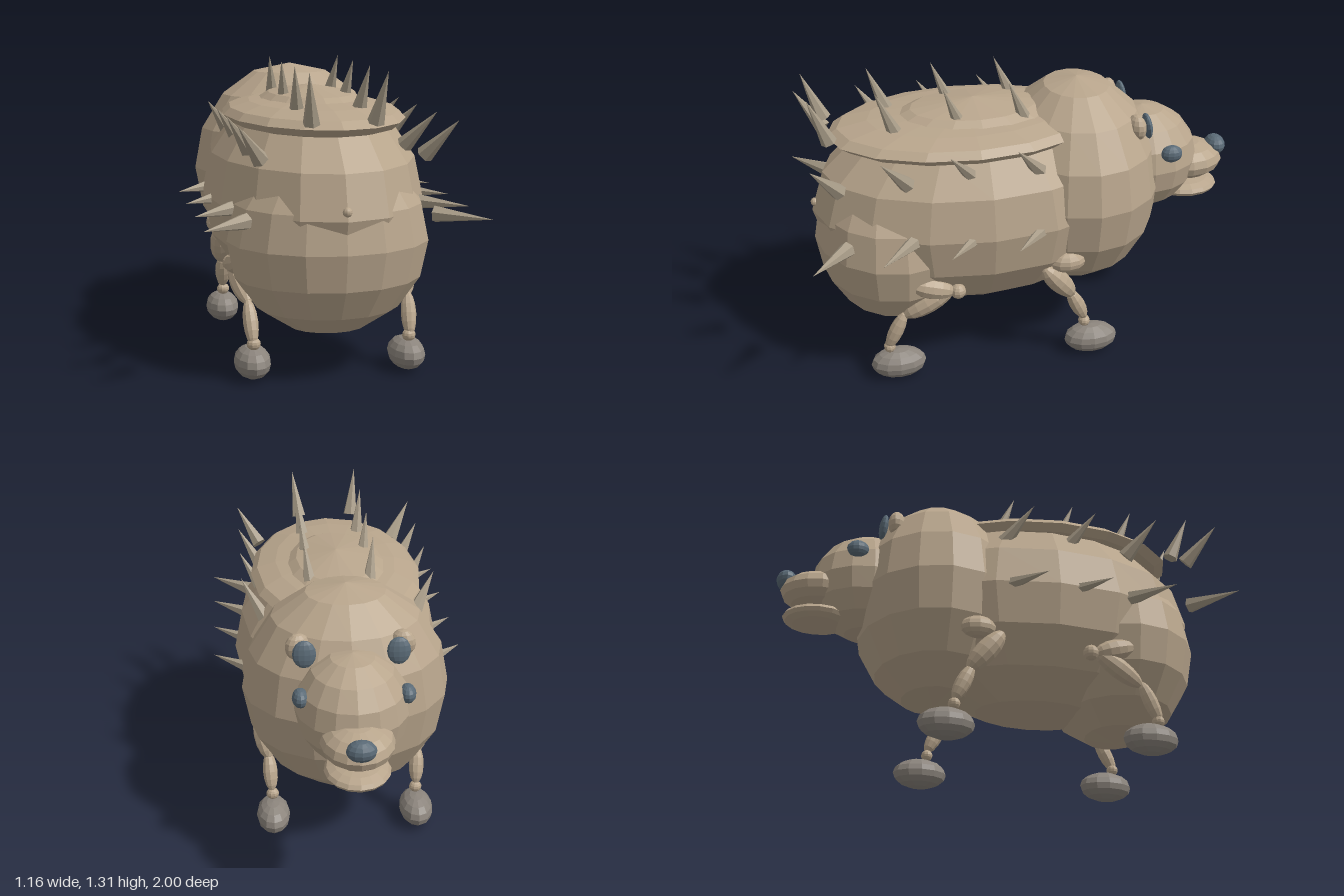
import * as THREE from 'three';

const mat = (name, color) => {
  const m = new THREE.MeshStandardMaterial({ color, flatShading: true });
  m.name = name;
  return m;
};

export function createModel() {
  const model = new THREE.Group();
  const fur = mat('tan fur', 0xb8a58c);
  const horn = mat('dull horn', 0xa89c88);
  const paw = mat('grey paw', 0x8b847c);
  const slate = mat('slate', 0x5a6a76);
  const UP = new THREE.Vector3(0, 1, 0);

  // faceted ellipsoid
  const blob = (name, material, pos, radii, wide = 16, high = 8) => {
    const mesh = new THREE.Mesh(new THREE.SphereGeometry(1, wide, high), material);
    mesh.name = name;
    mesh.position.set(...pos);
    mesh.scale.set(...radii);
    model.add(mesh);
    return mesh;
  };

  // ellipsoid or cone stretched from point a to point b
  const stretch = (name, material, a, b, r, cone = false) => {
    const from = new THREE.Vector3(...a), to = new THREE.Vector3(...b);
    const dir = to.clone().sub(from), len = dir.length();
    const geo = cone ? new THREE.ConeGeometry(r, len, 6)
      : new THREE.SphereGeometry(1, 10, 8).scale(r, len / 2, r);
    const mesh = new THREE.Mesh(geo, material);
    mesh.name = name;
    mesh.position.copy(from).add(to).multiplyScalar(0.5);
    mesh.quaternion.setFromUnitVectors(UP, dir.normalize());
    model.add(mesh);
  };

  // trunk, with the head end towards -z
  blob('belly', fur, [0, 0.717, 0.21], [0.478, 0.478, 0.74]);
  blob('rump', fur, [0, 0.58, 0.585], [0.432, 0.41, 0.363]);
  blob('shoulders', fur, [0, 0.76, -0.265], [0.457, 0.49, 0.382]);
  blob('backPlate', fur, [0, 1.07, 0.25], [0.392, 0.08, 0.615]);
  blob('tail', fur, [0, 0.755, 0.935], [0.02, 0.02, 0.02], 10, 8);

  // face
  blob('face', fur, [0, 0.83, -0.58], [0.245, 0.25, 0.265]);
  blob('muzzle', fur, [0, 0.787, -0.8], [0.155, 0.088, 0.18]);
  blob('jaw', fur, [0, 0.657, -0.805], [0.14, 0.043, 0.158]);
  blob('nose', slate, [0, 0.838, -0.953], [0.063, 0.046, 0.047], 12, 8);

  for (const s of [1, -1]) {
    const side = s > 0 ? 'left' : 'right';
    blob(side + 'Eye', slate, [s * 0.222, 0.92, -0.657], [0.035, 0.04, 0.05], 12, 8);
    blob(side + 'Ear', fur, [s * 0.22, 1.067, -0.485], [0.056, 0.06, 0.04], 12, 8).rotation.y = s * 0.3;
    blob(side + 'InnerEar', slate, [s * 0.197, 1.06, -0.543], [0.05, 0.06, 0.02], 12, 8).rotation.x = 0.15;

    // hind leg
    stretch(side + 'HindHip', fur, [s * 0.37, 0.49, 0.58], [s * 0.38, 0.435, 0.38], 0.05);
    blob(side + 'HindKnee', fur, [s * 0.385, 0.437, 0.365], [0.035, 0.035, 0.035], 10, 8);
    stretch(side + 'HindThigh', fur, [s * 0.38, 0.45, 0.385], [s * 0.345, 0.315, 0.605], 0.045);
    stretch(side + 'HindShin', fur, [s * 0.347, 0.335, 0.6], [s * 0.337, 0.155, 0.685], 0.033);
    blob(side + 'HindAnkle', fur, [s * 0.335, 0.16, 0.675], [0.03, 0.027, 0.027], 10, 8);
    blob(side + 'HindPaw', paw, [s * 0.335, 0.073, 0.637], [0.078, 0.07, 0.125], 12, 8);

    // front leg
    blob(side + 'FrontHip', fur, [s * 0.375, 0.515, -0.137], [0.05, 0.05, 0.08], 10, 8);
    stretch(side + 'FrontThigh', fur, [s * 0.38, 0.5, -0.025], [s * 0.345, 0.32, -0.175], 0.05);
    stretch(side + 'FrontShin', fur, [s * 0.347, 0.345, -0.155], [s * 0.337, 0.18, -0.235], 0.035);
    blob(side + 'FrontAnkle', fur, [s * 0.335, 0.165, -0.232], [0.03, 0.027, 0.027], 10, 8);
    blob(side + 'FrontPaw', paw, [s * 0.335, 0.073, -0.265], [0.078, 0.07, 0.125], 12, 8);

    // three rows of four backswept spikes
    for (let i = 0; i < 4; i++) {
      const z = -0.289 * i;
      stretch(side + 'LowSpike', horn, [s * 0.39, 0.715, 0.835 + z], [s * 0.58, 0.715, 1 + z], 0.036, true);
      stretch(side + 'MidSpike', horn, [s * 0.335, 0.962, 0.852 + z], [s * 0.44, 1.115, 0.973 + z], 0.037, true);
      stretch(side + 'TopSpike', horn, [s * 0.13, 1.1, 0.862 + z], [s * 0.157, 1.31, 0.948 + z], 0.036, true);
    }
  }
  return model;
}
